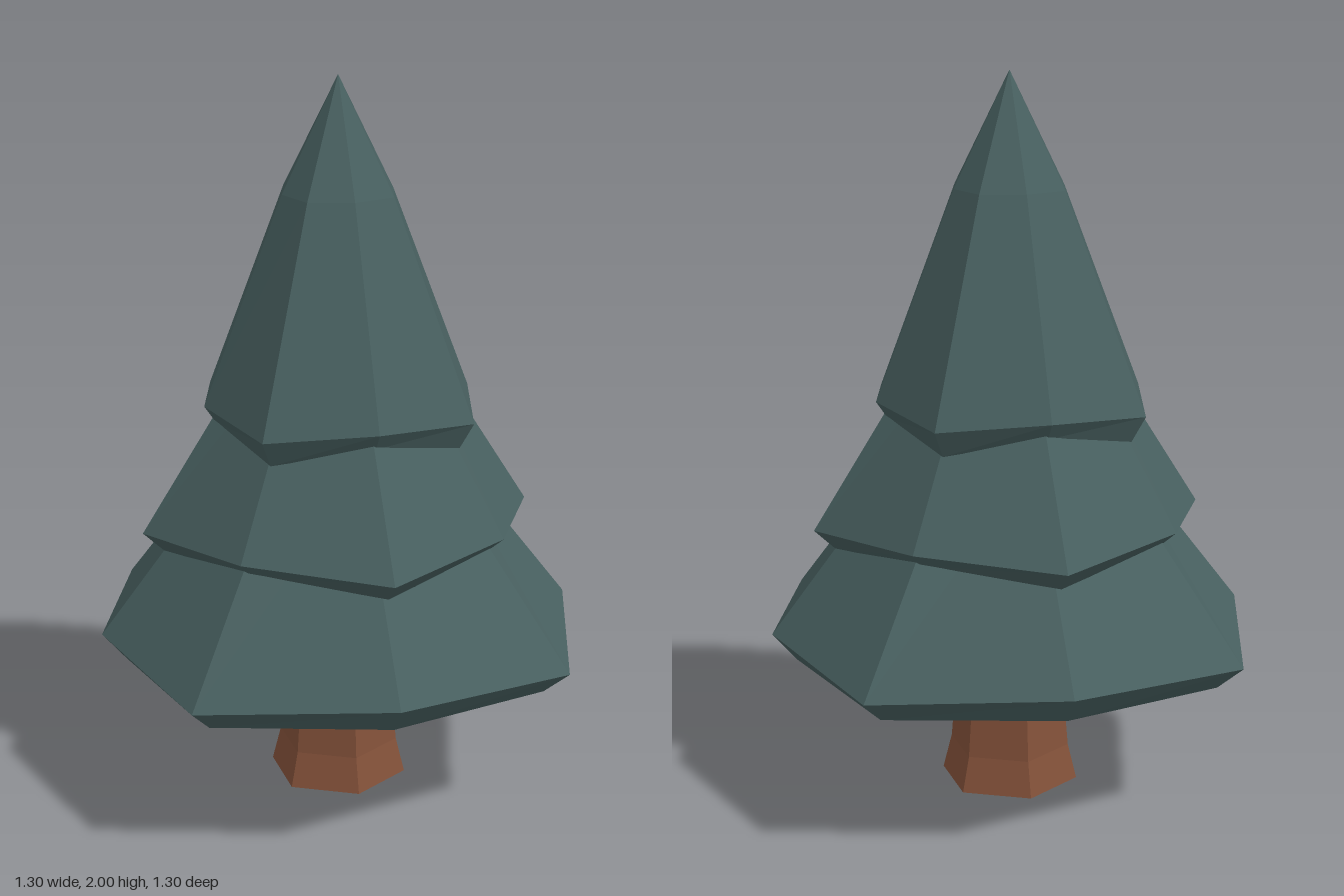
import * as THREE from 'three';

// Faceted solid from rings [radiusEven, yEven, radiusOdd, yOdd], listed from the
// underside centre outwards and up. Even and odd corners may differ.
function facetedSolid(rings, sides, startDeg) {
  const corner = (ring, k) => {
    const odd = k % 2;
    const a = THREE.MathUtils.degToRad(startDeg) + (k / sides) * Math.PI * 2;
    const r = ring[odd * 2];
    return [r * Math.cos(a), ring[odd * 2 + 1], r * Math.sin(a)];
  };
  const pos = [];
  for (let i = 0; i < rings.length - 1; i++) {
    const lo = rings[i], hi = rings[i + 1];
    for (let k = 0; k < sides; k++) {
      const n = (k + 1) % sides;
      const b0 = corner(lo, k), b1 = corner(lo, n), t0 = corner(hi, k), t1 = corner(hi, n);
      if (lo[0] > 0) pos.push(...b0, ...t0, ...b1);
      if (hi[0] > 0) pos.push(...b1, ...t0, ...t1);
    }
  }
  const geo = new THREE.BufferGeometry();
  geo.setAttribute('position', new THREE.Float32BufferAttribute(pos, 3));
  geo.computeVertexNormals(); // unshared corners give flat facets
  return geo;
}

export function createModel() {
  const needles = new THREE.MeshStandardMaterial({ color: 0x486060 });
  needles.name = 'needleGreen';
  const bark = new THREE.MeshStandardMaterial({ color: 0x84523a });
  bark.name = 'barkBrown';

  const tree = new THREE.Group();
  tree.name = 'pineTree';
  const add = (name, material, sides, startDeg, rings) => {
    const mesh = new THREE.Mesh(facetedSolid(rings, sides, startDeg), material);
    mesh.name = name;
    tree.add(mesh);
  };

  // Six-sided trunk with a flared foot
  const even = (r, y) => [r, y, r, y];
  add('trunk', bark, 6, 45, [
    even(0, 0), even(0.195, 0), even(0.17, 0.1), even(0.143, 0.42), even(0, 0.42),
  ]);

  // Three eight-sided tiers: underside, inset lip, drooping rim, slope, tip
  add('bottomTier', needles, 8, 63.8, [
    even(0, 0.4), [0.648, 0.39, 0.605, 0.4], [0.724, 0.457, 0.672, 0.48],
    [0.29, 1.0, 0.27, 1.0], even(0, 1.1),
  ]);
  add('middleTier', needles, 8, 17.3, [
    even(0, 0.76), [0.495, 0.718, 0.465, 0.757], [0.552, 0.773, 0.51, 0.797],
    [0.185, 1.35, 0.17, 1.35], even(0, 1.45),
  ]);
  add('topTier', needles, 8, 61, [
    even(0, 1.08), [0.37, 1.03, 0.345, 1.078], [0.411, 1.103, 0.376, 1.124],
    [0.168, 1.69, 0.155, 1.69], even(0, 2),
  ]);

  return tree;
}
